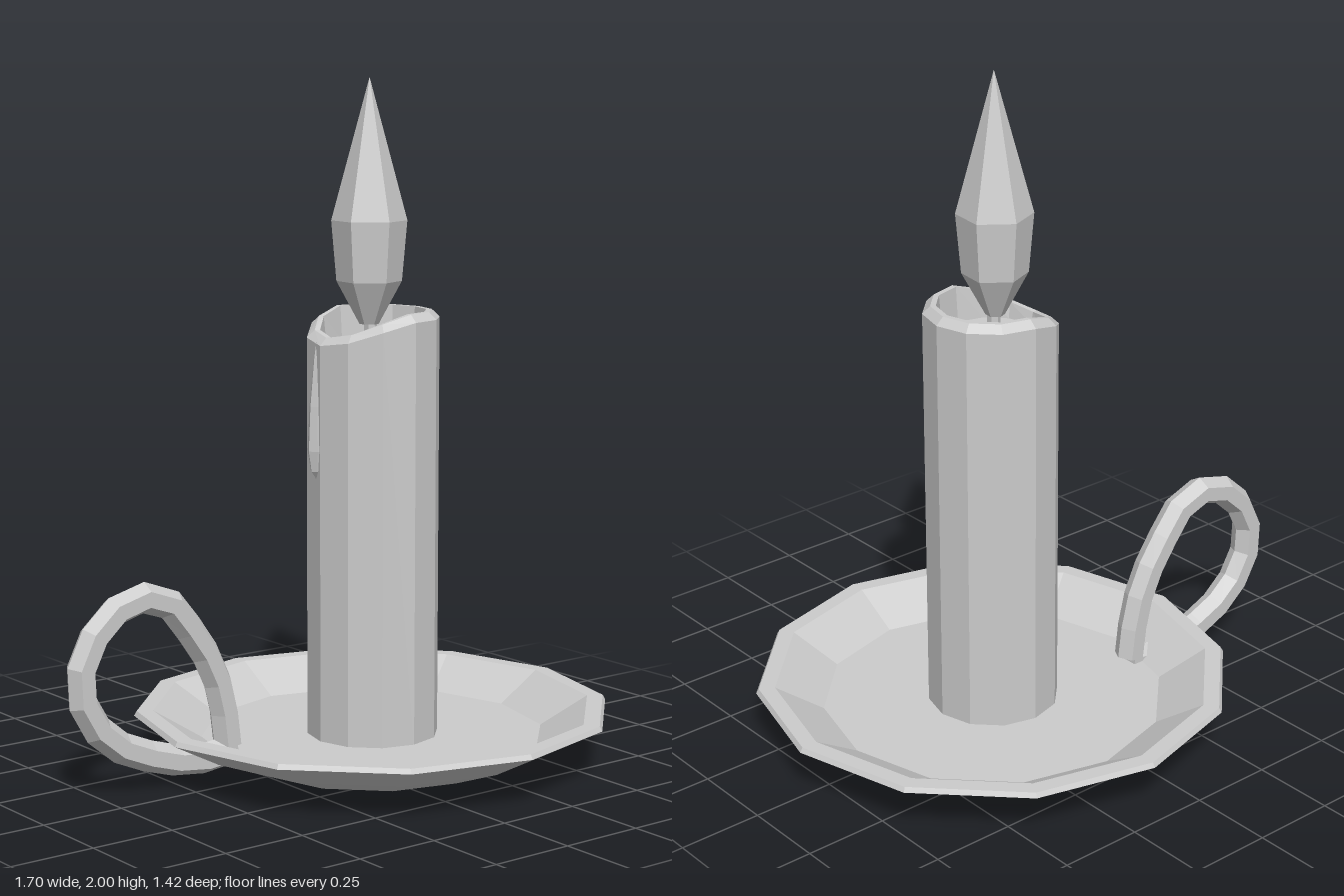
import * as THREE from 'three';

const AXIS_X = 0.138; // shared axis of dish and candle

export function createModel() {
  const group = new THREE.Group();
  const material = new THREE.MeshStandardMaterial({ color: 0xcccccc, flatShading: true });

  const add = (name, geometry, x = 0, y = 0, z = 0) => {
    const mesh = new THREE.Mesh(geometry, material);
    mesh.name = name;
    mesh.position.set(x, y, z);
    group.add(mesh);
    return mesh;
  };
  const lathe = (profile, sides, start = 0) =>
    new THREE.LatheGeometry(profile.map(([r, y]) => new THREE.Vector2(r, y)), sides, start);

  // Shallow twelve-sided dish with a flat rim
  add('dish', lathe([
    [0, 0], [0.385, 0], [0.56, 0.066], [0.708, 0.143], [0.7, 0.157],
    [0.652, 0.157], [0.51, 0.072], [0, 0.072],
  ], 12), AXIS_X);

  // Candle with a hollow top whose rim has melted down on the -x side
  const candle = lathe([
    [0.195, 0.06], [0.195, 1.308], [0.172, 1.33], [0.156, 1.33], [0.148, 1.225], [0, 1.225],
  ], 12);
  const pos = candle.attributes.position;
  for (let i = 0; i < pos.count; i++) {
    const x = pos.getX(i), y = pos.getY(i);
    if (y < 1.3) continue;
    const side = Math.max(0, -x / Math.hypot(x, pos.getZ(i)));
    pos.setY(i, y - 0.07 * side ** 1.5);
  }
  add('candle', candle, AXIS_X);

  // Wax drip running down from the melted side
  add('waxDrip', lathe([
    [0, 0.845], [0.018, 0.87], [0.028, 0.93], [0.022, 1.06], [0.008, 1.2], [0, 1.25],
  ], 6, Math.PI / 6), -0.047, 0, -0.03);

  // Wick and six-sided flame
  add('wick', new THREE.CylinderGeometry(0.018, 0.02, 0.14, 6), 0.128, 1.28, 0);
  add('flame', lathe([
    [0, 1.29], [0.028, 1.29], [0.095, 1.415], [0.11, 1.59], [0, 2],
  ], 6, -0.12), 0.122);

  // Looped handle: hexagonal bar swept along a curve, ridge facing outwards
  const path = new THREE.CatmullRomCurve3([
    [-0.312, 0.085], [-0.335, 0.24], [-0.385, 0.36], [-0.455, 0.46], [-0.515, 0.53],
    [-0.6, 0.556], [-0.68, 0.536], [-0.75, 0.48], [-0.795, 0.41], [-0.81, 0.34],
    [-0.795, 0.265], [-0.755, 0.2], [-0.69, 0.142], [-0.57, 0.09], [-0.43, 0.056], [-0.3, 0.066],
  ].map(([x, y]) => new THREE.Vector3(x, y, 0)));
  const section = new THREE.Shape(Array.from({ length: 6 }, (_, i) => {
    const a = Math.PI / 2 + i * Math.PI / 3;
    return new THREE.Vector2(0.045 * Math.cos(a), 0.045 * Math.sin(a));
  }));
  add('handle', new THREE.ExtrudeGeometry(section, { steps: 16, extrudePath: path }), 0, 0, -0.111);

  return group;
}
